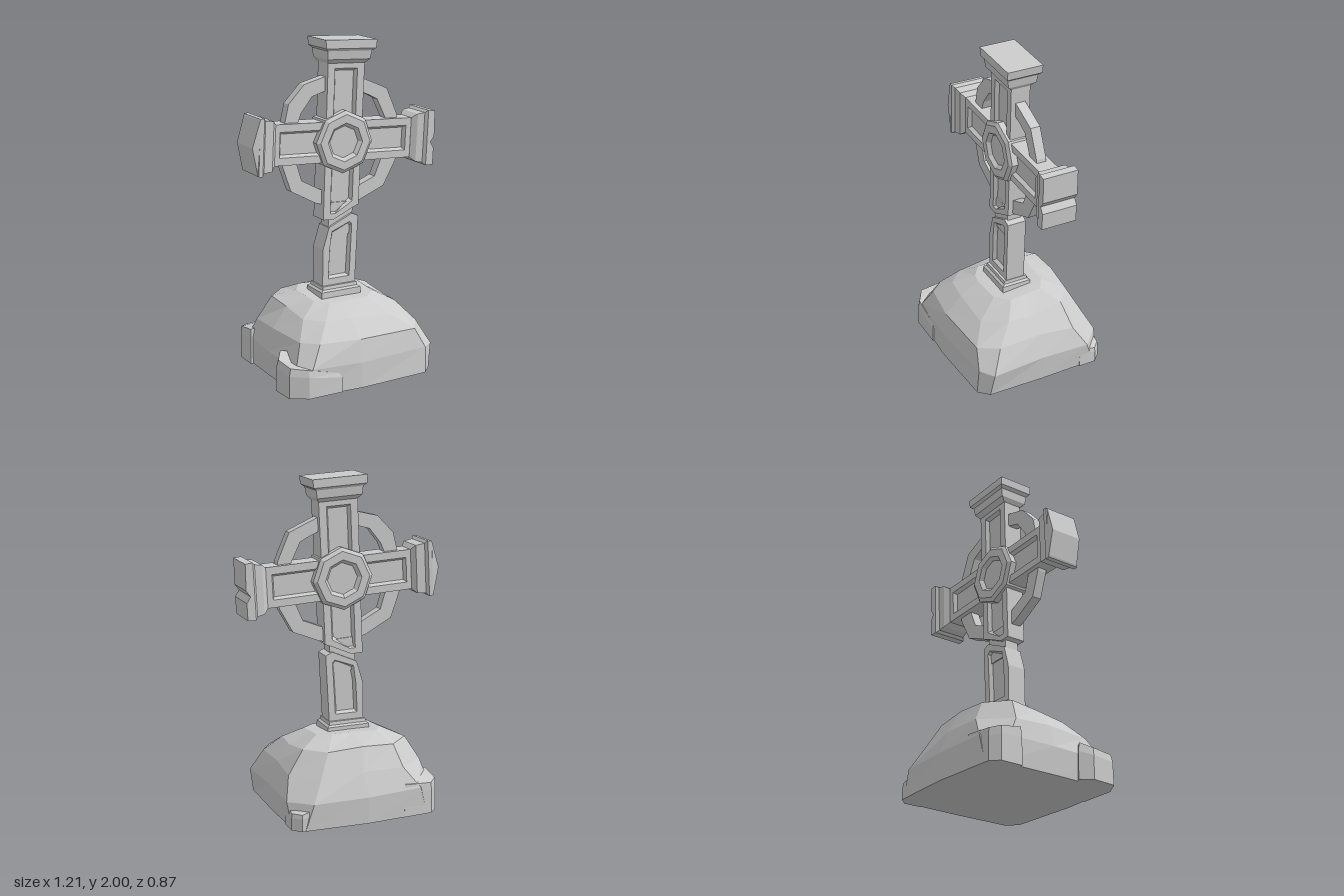
import * as THREE from 'three';

const stone = new THREE.MeshStandardMaterial({ color: 0xcccccc, flatShading: true });

// Closed solid through rings of equal, even point count; flipped if it comes out inside-out
function loft(name, rings) {
  const n = rings[0].length, pos = [];
  const quad = (a, b, c, d) => pos.push(...a, ...b, ...c, ...a, ...c, ...d);
  for (let r = 0; r < rings.length - 1; r++)
    for (let i = 0; i < n; i++) {
      const j = (i + 1) % n;
      quad(rings[r][i], rings[r][j], rings[r + 1][j], rings[r + 1][i]);
    }
  const first = rings[0], last = rings[rings.length - 1];
  for (let i = 0; i < n / 2 - 1; i++) {
    quad(last[i], last[i + 1], last[n - 2 - i], last[n - 1 - i]);
    quad(first[n - 1 - i], first[n - 2 - i], first[i + 1], first[i]);
  }
  let volume = 0;
  const a = new THREE.Vector3(), b = new THREE.Vector3(), c = new THREE.Vector3();
  for (let i = 0; i < pos.length; i += 9) {
    a.fromArray(pos, i); b.fromArray(pos, i + 3); c.fromArray(pos, i + 6);
    volume += a.dot(b.cross(c));
  }
  if (volume < 0)
    for (let i = 0; i < pos.length; i += 9)
      for (let k = 0; k < 3; k++) [pos[i + k], pos[i + 3 + k]] = [pos[i + 3 + k], pos[i + k]];
  const geo = new THREE.BufferGeometry();
  geo.setAttribute('position', new THREE.Float32BufferAttribute(pos, 3));
  geo.computeVertexNormals();
  const mesh = new THREE.Mesh(geo, stone);
  mesh.name = name;
  return mesh;
}

const atZ = (pts, z) => pts.map(([x, y]) => [x, y, z]);

// Slab with a bevelled sunken panel on front and back
function panelSlab(name, outer, panel, depth) {
  const cx = panel.reduce((s, p) => s + p[0], 0) / panel.length;
  const cy = panel.reduce((s, p) => s + p[1], 0) / panel.length;
  const floor = panel.map(([x, y]) => [x - Math.sign(x - cx) * 0.014, y - Math.sign(y - cy) * 0.014]);
  return loft(name, [
    atZ(floor, depth - 0.022), atZ(panel, depth), atZ(outer, depth),
    atZ(outer, -depth), atZ(panel, -depth), atZ(floor, -depth + 0.022),
  ]);
}

// Stepped moulding along +y; each step is [height, half width, half depth].
// crest lists [width fraction, height offset] across the end face.
function moulding(name, steps, crest = [[1, 0], [-1, 0]]) {
  return loft(name, steps.map(([y, w, d], s) => {
    const lift = s === steps.length - 1 ? 1 : 0;
    const row = (z) => crest.map(([f, o]) => [f * w, y + o * lift, z]);
    return [...row(d), ...row(-d).reverse()];
  }));
}

const rect = (x0, x1, y0, y1) => [[x0, y0], [x0, y1], [x1, y1], [x1, y0]];
const octagon = (r) => Array.from({ length: 8 }, (_, i) => {
  const t = (i * Math.PI) / 4;
  return [r * Math.sin(t), r * Math.cos(t)];
});

function buildHead() {
  const head = new THREE.Group();
  head.name = 'crossHead';

  // Upper shaft ending in a slanted break, and the cross arms
  head.add(panelSlab('upperShaft',
    [[-0.11, -0.465], [-0.122, 0.475], [0.122, 0.475], [0.125, -0.385], [0.09, -0.4], [-0.04, -0.465]],
    [[-0.065, -0.43], [-0.075, 0.43], [0.075, 0.43], [0.08, -0.36], [0.06, -0.375], [-0.03, -0.43]], 0.06));
  head.add(panelSlab('arms', rect(-0.46, 0.48, -0.12, 0.12), rect(-0.415, 0.43, -0.075, 0.075), 0.0595));

  // Octagonal boss with a sunken centre
  const boss = [[0.095, 0.068], [0.115, 0.09], [0.165, 0.09], [0.187, 0.075]];
  head.add(loft('boss', [
    ...boss.map(([r, z]) => atZ(octagon(r), z)),
    ...boss.slice().reverse().map(([r, z]) => atZ(octagon(r), -z)),
  ]));

  // Moulded ends: flat top, pointed end and notched end
  head.add(moulding('topCap', [[0.46, 0.122, 0.06], [0.485, 0.14, 0.088], [0.535, 0.146, 0.095],
    [0.55, 0.165, 0.11], [0.6, 0.17, 0.11]]));
  const rightEnd = moulding('rightArmEnd', [[0.445, 0.12, 0.06], [0.47, 0.145, 0.085], [0.525, 0.152, 0.09],
    [0.54, 0.168, 0.106], [0.565, 0.165, 0.106], [0.57, 0.155, 0.1]], [[1, 0], [0, 0.038], [-1, 0]]);
  rightEnd.rotation.z = Math.PI / 2;
  const leftEnd = moulding('leftArmEnd', [[0.465, 0.12, 0.06], [0.495, 0.145, 0.085], [0.54, 0.152, 0.09],
    [0.555, 0.168, 0.108], [0.605, 0.165, 0.108]],
  [[1, 0], [0.38, 0], [0.16, -0.025], [-0.06, 0], [-1, -0.005]]);
  leftEnd.rotation.z = -Math.PI / 2;
  // The turned end runs top to bottom, so its notch fractions already face up
  leftEnd.scale.x = -1;
  leftEnd.geometry.scale(-1, 1, 1);
  const p = leftEnd.geometry.attributes.position;
  leftEnd.scale.x = 1;
  for (let i = 0; i < p.count; i++) p.setX(i, -p.getX(i));

  head.add(rightEnd, leftEnd);

  // Faceted ring, one worn arc per quadrant: [angle, outer radius, inner radius]
  const arcs = [
    [[6, 0.4, 0.33], [20, 0.405, 0.325], [45, 0.425, 0.335], [55, 0.4, 0.32], [84, 0.4, 0.32]],
    [[96, 0.4, 0.32], [104, 0.4, 0.32], [127, 0.425, 0.335], [147, 0.42, 0.32], [174, 0.39, 0.32]],
    [[186, 0.4, 0.32], [200, 0.4, 0.31], [222, 0.425, 0.335], [248, 0.395, 0.31], [264, 0.39, 0.32]],
    [[276, 0.39, 0.32], [292, 0.395, 0.31], [317, 0.425, 0.335], [340, 0.41, 0.31], [354, 0.4, 0.32]],
  ];
  const polar = (deg, r) => [r * Math.cos(deg * Math.PI / 180), r * Math.sin(deg * Math.PI / 180)];
  arcs.forEach((arc, i) => {
    const outline = [...arc.map(([a, r]) => polar(a, r)), ...arc.map(([a, , r]) => polar(a, r)).reverse()];
    head.add(loft('ringArc' + (i + 1), [atZ(outline, 0.03), atZ(outline, -0.03)]));
  });

  head.position.set(0, 1.39, 0.01);
  head.rotation.z = -0.05;
  return head;
}

function buildShaft() {
  const shaft = new THREE.Group();
  shaft.name = 'lowerCross';
  shaft.position.z = 0.01;
  // Lower shaft with a broken top, and the core bridging the crack
  shaft.add(panelSlab('lowerShaft',
    [[-0.14, 0.5], [-0.135, 0.75], [-0.095, 0.88], [0.06, 0.95], [0.103, 0.93], [0.08, 0.5]],
    [[-0.1, 0.565], [-0.09, 0.75], [-0.075, 0.855], [0.045, 0.9], [0.06, 0.885], [0.042, 0.565]], 0.06));
  const core = new THREE.Mesh(new THREE.BoxGeometry(0.16, 0.2, 0.09), stone);
  core.name = 'crackCore';
  core.position.set(-0.01, 0.925, 0);
  core.rotation.z = -0.05;
  shaft.add(core);
  const plinth = moulding('plinth', [[0.42, 0.135, 0.095], [0.495, 0.132, 0.092], [0.505, 0.118, 0.078], [0.525, 0.115, 0.075]]);
  plinth.position.x = -0.03;
  shaft.add(plinth);
  return shaft;
}

function buildRock() {
  const rock = new THREE.Group();
  rock.name = 'rockBase';
  let seed = 7;
  const jitter = (s) => {
    seed = (seed * 16807) % 2147483647;
    return (seed / 2147483647 - 0.5) * s;
  };
  // Layers: y, x range, z range, corner cut
  const layers = [
    [0, -0.46, 0.43, -0.41, 0.42, 0.06],
    [0.16, -0.47, 0.445, -0.415, 0.415, 0.07],
    [0.29, -0.42, 0.4, -0.365, 0.38, 0.1],
    [0.4, -0.34, 0.3, -0.29, 0.29, 0.11],
    [0.465, -0.23, 0.18, -0.17, 0.17, 0.07],
  ];
  rock.add(loft('boulder', layers.map(([y, x0, x1, z0, z1, c], k) => {
    const b = k > 0 && k < 3 ? 0.05 : 0; // extra wear on the back corners
    const xm = (x0 + x1) / 2, zm = (z0 + z1) / 2, out = k < 4 ? 0.02 : 0;
    const ring = [
      [x0, z1 - c], [x0 + c, z1], [xm - 0.06, z1 + out], [x1 - c, z1], [x1, z1 - c], [x1 + out * 0.3, zm],
      [x1, z0 + c + b], [x1 - c - b, z0], [xm, z0 - out], [x0 + c + b, z0], [x0, z0 + c + b], [x0 - out * 0.3, zm],
    ];
    const j = k === 0 ? 0 : 0.025;
    return ring.map(([x, z]) => [x + jitter(j), y - (k > 2 ? 0.08 * z : 0) + jitter(k < 4 ? j : 0.003), z + jitter(j)]);
  })));

  // Broken chunks at the foot: plan outline, heights around the top, and shrink toward the rock
  const chunk = (name, plan, tops, inset) => {
    const cx = plan.reduce((s, p) => s + p[0], 0) / plan.length;
    const cz = plan.reduce((s, p) => s + p[1], 0) / plan.length;
    const ring = (f, g) => plan.map(([x, z], i) => [cx + (x - cx) * f, tops[i] * g, cz + (z - cz) * f]);
    rock.add(loft(name, [ring(1, 0), ring(0.98, 0.75), ring(inset, 1)]));
  };
  chunk('frontChunk', [[-0.49, 0.16], [-0.54, 0.23], [-0.53, 0.38], [-0.43, 0.44], [-0.21, 0.44], [-0.25, 0.3]],
    [0.22, 0.19, 0.18, 0.17, 0.12, 0.2], 0.9);
  chunk('backRightLedge', [[-0.48, -0.22], [-0.48, -0.36], [-0.43, -0.41], [-0.25, -0.42], [-0.25, -0.3], [-0.36, -0.22]],
    [0.22, 0.2, 0.19, 0.2, 0.24, 0.24], 0.94);
  chunk('backLeftLedge', [[0.44, -0.25], [0.44, -0.36], [0.39, -0.41], [0.28, -0.41], [0.28, -0.32], [0.34, -0.26]],
    [0.12, 0.1, 0.1, 0.13, 0.15, 0.15], 0.92);
  return rock;
}

export function createModel() {
  const model = new THREE.Group();
  model.name = 'stoneCross';
  model.add(buildRock(), buildShaft(), buildHead());
  return model;
}
